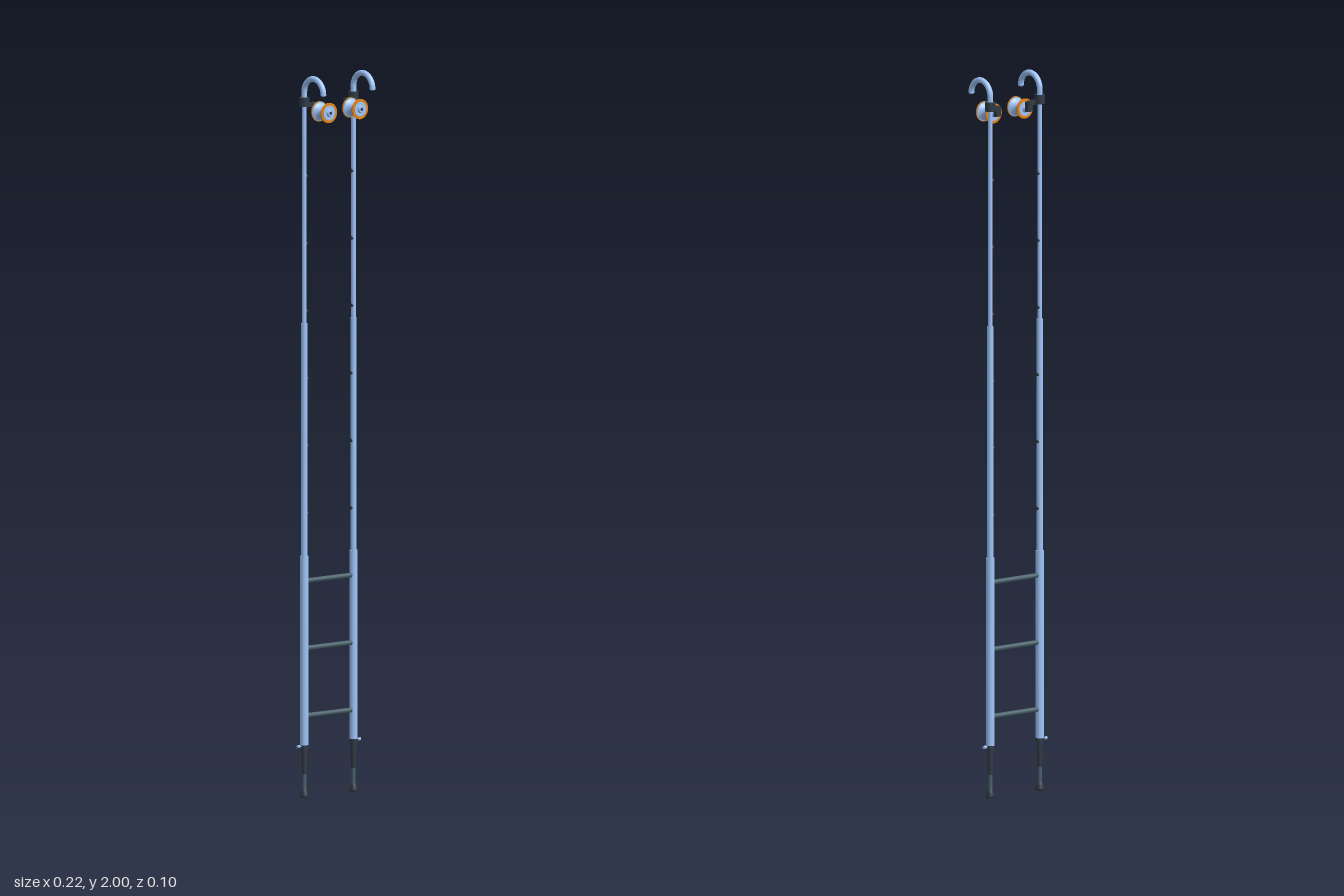
import * as THREE from 'three';

const BLUE = new THREE.MeshStandardMaterial({ color: 0x9fc6fb });
const SLATE = new THREE.MeshStandardMaterial({ color: 0x465f69 });
const DARK = new THREE.MeshStandardMaterial({ color: 0x2f3a43 });
const ORANGE = new THREE.MeshStandardMaterial({ color: 0xe8820f });

const RAIL_X = 0.088, RAIL_Z = -0.0365, RUNG_Y = 0.226, STEP = 0.1865;

function add(parent, name, geometry, material, x = 0, y = 0, z = 0) {
  const mesh = new THREE.Mesh(geometry, material);
  mesh.name = name;
  mesh.position.set(x, y, z);
  parent.add(mesh);
  return mesh;
}

// Upright cylinder between two heights
function post(parent, name, material, y0, y1, r0, r1 = r0) {
  return add(parent, name, new THREE.CylinderGeometry(r1, r0, y1 - y0, 24), material, 0, (y0 + y1) / 2, 0);
}

// Cylinder lying along x
function bar(parent, name, material, x, y, z, r, length) {
  const mesh = add(parent, name, new THREE.CylinderGeometry(r, r, length, 16), material, x, y, z);
  mesh.rotation.z = Math.PI / 2;
  return mesh;
}

// Grooved roller whose axle runs along z
function makeRoller() {
  const roller = new THREE.Group();
  roller.name = 'roller';
  const profile = [new THREE.Vector2(0, -0.019)];
  for (let i = 0; i <= 16; i++) {
    const t = i / 8 - 1;
    profile.push(new THREE.Vector2(0.0275 - 0.0145 * (1 - t * t), t * 0.019));
  }
  profile.push(new THREE.Vector2(0, 0.019));
  add(roller, 'rollerBody', new THREE.LatheGeometry(profile, 40), BLUE);
  for (const s of [-1, 1]) {
    add(roller, 'rollerFlange', new THREE.CylinderGeometry(0.028, 0.028, 0.0035, 40), ORANGE, 0, s * 0.0203, 0);
    add(roller, 'rollerFace', new THREE.CylinderGeometry(0.0205, 0.0205, 0.002, 40), BLUE, 0, s * 0.0222, 0);
  }
  add(roller, 'axleNut', new THREE.CylinderGeometry(0.009, 0.011, 0.005, 24), BLUE, 0, 0.0255, 0);
  add(roller, 'axleEnd', new THREE.CylinderGeometry(0.004, 0.004, 0.002, 16), DARK, 0, 0.0285, 0);
  add(roller, 'axleNeck', new THREE.CylinderGeometry(0.011, 0.007, 0.009, 24), BLUE, 0, -0.0265, 0);
  roller.rotation.x = Math.PI / 2;
  return roller;
}

// One complete side: s = 1 is the left rail, s = -1 the right rail
function makeSide(s) {
  const side = new THREE.Group();
  side.name = s > 0 ? 'leftSide' : 'rightSide';
  side.position.set(s * RAIL_X, 0, RAIL_Z);

  // Adjustable foot
  const foot = [[0, 0], [0.011, 0], [0.0115, 0.006], [0.009, 0.016], [0.007, 0.024], [0, 0.024]];
  add(side, 'footPad', new THREE.LatheGeometry(foot.map(p => new THREE.Vector2(...p)), 24), DARK);
  post(side, 'footStem', SLATE, 0.02, 0.075, 0.0055);
  post(side, 'footSleeve', DARK, 0.065, 0.14, 0.0065, 0.0085);
  post(side, 'footCollar', DARK, 0.138, 0.146, 0.0125);
  bar(side, 'lockPin', BLUE, s * 0.014, 0.143, 0, 0.0028, 0.02);
  bar(side, 'lockPinHead', BLUE, s * 0.0205, 0.143, 0, 0.0045, 0.007);

  // Telescoping rail, thinner towards the top
  post(side, 'lowerRail', BLUE, 0.145, 0.668, 0.0115);
  post(side, 'middleRail', BLUE, 0.66, 1.312, 0.0088);
  post(side, 'upperRail', BLUE, 1.30, 1.952, 0.0064);

  // Rung sockets on the inner face
  for (let i = 3; i < 9; i++) {
    const y = RUNG_Y + i * STEP, r = y < 1.31 ? 0.0088 : 0.0064;
    bar(side, 'rungSocket', DARK, -s * r, y, 0, 0.005, 0.005);
  }

  // Hook curving forward over the top
  const R = 0.0405, points = [new THREE.Vector3(0, 1.925, 0)];
  for (let i = 0; i <= 16; i++) {
    const a = Math.PI * i / 16;
    points.push(new THREE.Vector3(0, 1.9515 + R * Math.sin(a), R - R * Math.cos(a)));
  }
  add(side, 'hook', new THREE.TubeGeometry(new THREE.CatmullRomCurve3(points), 56, 0.008, 16), BLUE);
  const tip = add(side, 'hookTip', new THREE.SphereGeometry(0.008, 16, 12), BLUE, 0, 1.9515, 2 * R);
  tip.scale.y = 0.5;

  // Clamp, arm and roller
  post(side, 'hookClamp', DARK, 1.912, 1.937, 0.0145);
  add(side, 'rollerArm', new THREE.BoxGeometry(0.032, 0.012, 0.012), DARK, -s * 0.018, 1.916, 0.006);
  add(side, 'rollerBracket', new THREE.BoxGeometry(0.017, 0.028, 0.012), DARK, -s * 0.0315, 1.906, 0.008);
  const roller = makeRoller();
  roller.position.set(-s * 0.0325, 1.898, 0.0455);
  side.add(roller);
  return side;
}

export function createModel() {
  const model = new THREE.Group();
  model.name = 'hookLadder';
  model.add(makeSide(1), makeSide(-1));
  // Rungs between the lower rails
  for (let i = 0; i < 3; i++) {
    bar(model, 'rung', SLATE, 0, RUNG_Y + i * STEP, RAIL_Z, 0.007, 2 * RAIL_X);
  }
  return model;
}
